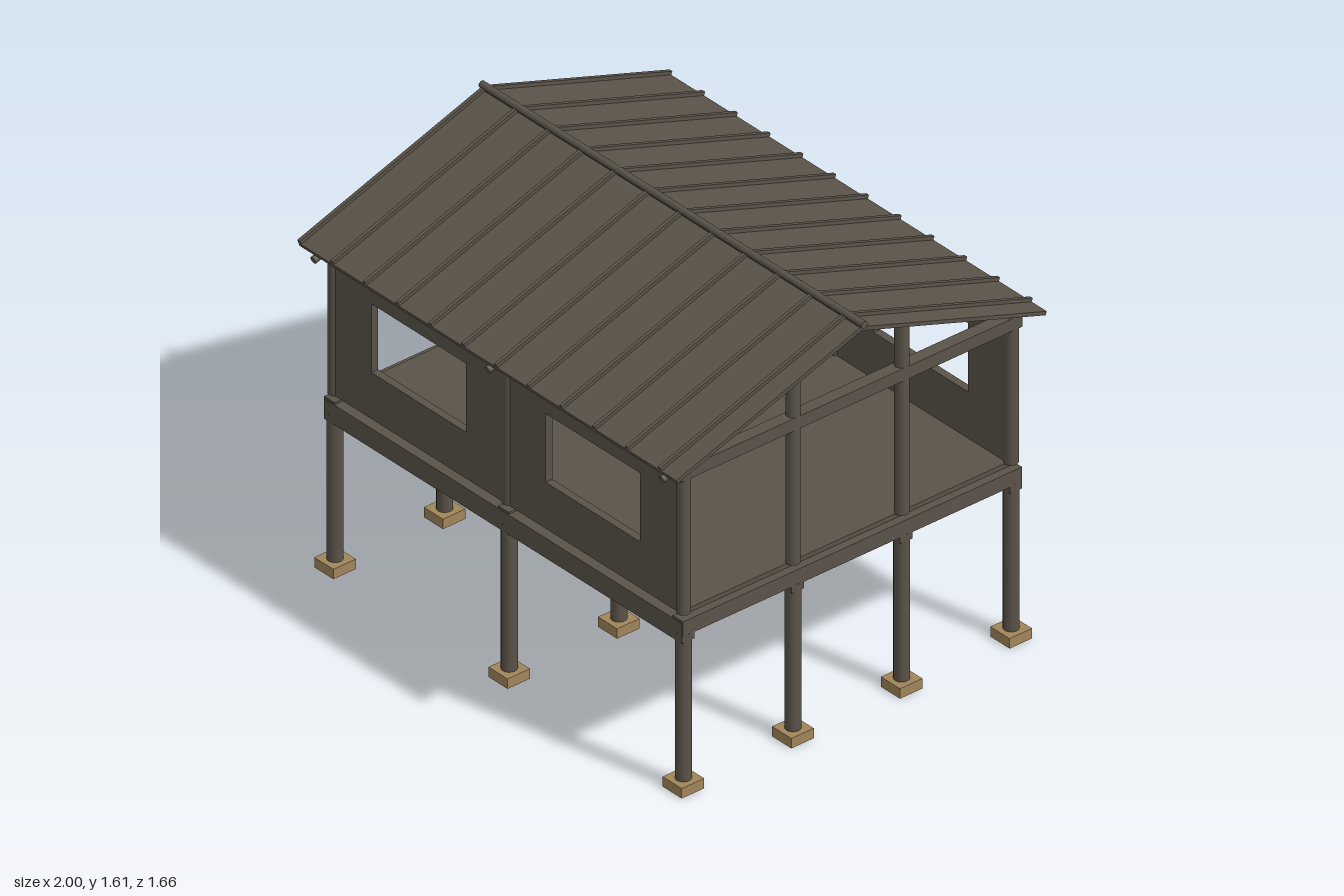
import * as THREE from 'three';

const timber = new THREE.MeshStandardMaterial({ color: 0x5a5349 });
timber.name = 'dark timber';
const footingMat = new THREE.MeshStandardMaterial({ color: 0xa0855a });
footingMat.name = 'tan footing';

const COLS = [-0.91, 0, 0.91];
const ROWS = [-0.73, -0.242, 0.242, 0.73];

export function createModel() {
  const model = new THREE.Group();
  model.name = 'stiltHouse';

  const add = (parent, name, geometry, x, y, z, material = timber) => {
    const mesh = new THREE.Mesh(geometry, material);
    mesh.name = name;
    mesh.position.set(x, y, z);
    parent.add(mesh);
    return mesh;
  };
  // Box given by its size, with y as the bottom level
  const box = (name, w, h, d, x, y, z, material) =>
    add(model, name, new THREE.BoxGeometry(w, h, d), x, y + h / 2, z, material);
  // Round upright post between two levels
  const post = (name, r, y0, y1, x, z) =>
    add(model, name, new THREE.CylinderGeometry(r, r, y1 - y0, 16), x, (y0 + y1) / 2, z);

  // Footings, stilts and upper posts on a 3 by 4 grid
  for (const x of COLS) {
    for (const z of ROWS) {
      box('footing', 0.1, 0.04, 0.1, x, 0, z, footingMat);
      post('stilt', 0.029, 0.04, 0.63, x, z);
      post('upperPost', 0.026, 0.706, Math.abs(z) > 0.5 ? 1.315 : 1.478, x, z);
    }
    // Cross beams below the floor and ties below the roof
    box('floorCrossBeam', 0.055, 0.06, 1.51, x, 0.628, 0);
    box('tieBeam', 0.05, 0.05, 1.52, x, 1.249, 0);
  }

  // Long floor beams, one per row of stilts
  for (const z of ROWS) box('floorLongBeam', 1.87, 0.08, 0.055, 0, 0.6, z);
  box('floor', 1.81, 0.018, 1.452, 0, 0.688, 0);

  // Long walls, each with two window openings
  const wall = new THREE.Shape();
  wall.moveTo(-0.91, 0.706).lineTo(0.91, 0.706).lineTo(0.91, 1.265).lineTo(-0.91, 1.265).closePath();
  for (const s of [-1, 1]) {
    const cx = s * 0.455;
    const hole = new THREE.Path();
    hole.moveTo(cx - 0.247, 0.892).lineTo(cx - 0.247, 1.168)
      .lineTo(cx + 0.247, 1.168).lineTo(cx + 0.247, 0.892).closePath();
    wall.holes.push(hole);
  }
  const wallGeo = new THREE.ExtrudeGeometry(wall, { depth: 0.03, bevelEnabled: false });
  wallGeo.translate(0, 0, -0.015);
  for (const s of [-1, 1]) {
    add(model, 'longWall', wallGeo, 0, 0, s * 0.73);
    box('wallPlate', 1.87, 0.036, 0.05, 0, 1.264, s * 0.73);
  }

  // Roof slopes, hinged at the ridge
  const pitch = 0.325, length = 0.875;
  for (const s of [-1, 1]) {
    const slope = new THREE.Group();
    slope.name = s > 0 ? 'frontRoofSlope' : 'backRoofSlope';
    slope.position.y = 1.6;
    slope.rotation.x = s * pitch;
    model.add(slope);
    const mid = s * length / 2;
    add(slope, 'roofSheet', new THREE.BoxGeometry(1.975, 0.015, length), -0.003, -0.0215, mid);
    for (let i = 0; i < 12; i++) {
      add(slope, 'roofRib', new THREE.BoxGeometry(0.014, 0.015, length), -0.984 + i * 0.1712, -0.0075, mid);
    }
    for (const x of COLS) {
      const rafter = new THREE.CylinderGeometry(0.0145, 0.0145, length + 0.012, 12);
      rafter.rotateX(Math.PI / 2);
      add(slope, 'rafter', rafter, x, -0.043, s * (length + 0.012) / 2);
    }
  }

  // Ridge pole
  const ridge = new THREE.CylinderGeometry(0.014, 0.014, 2, 12);
  ridge.rotateZ(Math.PI / 2);
  add(model, 'ridgePole', ridge, 0, 1.6, 0);

  return model;
}
